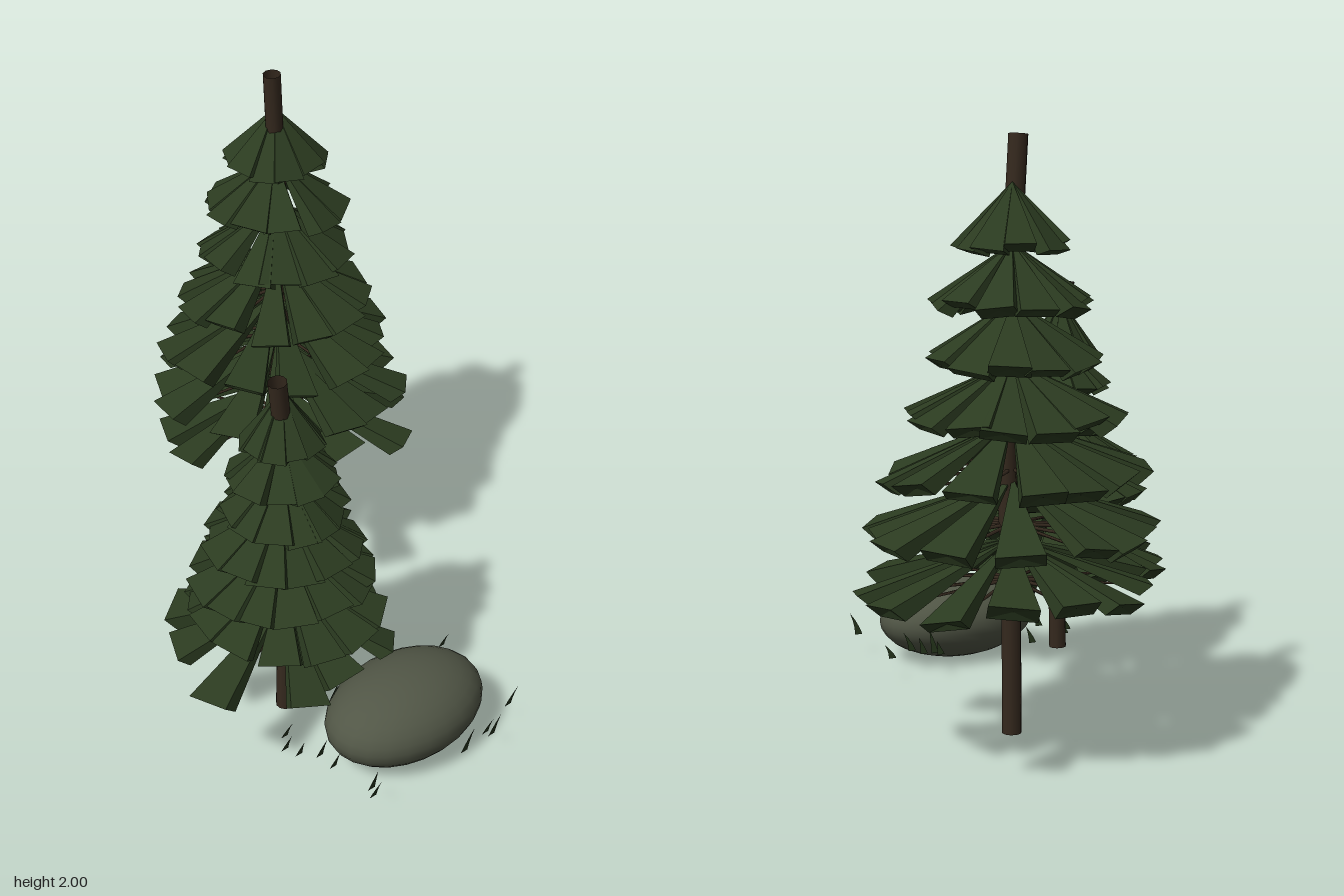
import * as THREE from 'three';
import { mergeGeometries } from 'three/addons/utils/BufferGeometryUtils.js';

const needles = new THREE.MeshStandardMaterial({ color: 0x2b3b20, flatShading: true });
needles.name = 'needle green';
const bark = new THREE.MeshStandardMaterial({ color: 0x35291e, side: THREE.DoubleSide });
bark.name = 'bark brown';
const stone = new THREE.MeshStandardMaterial({ color: 0x515646 });
stone.name = 'stone grey';
const blade = new THREE.MeshStandardMaterial({ color: 0x25351c, side: THREE.DoubleSide });
blade.name = 'grass green';

function seeded(seed) {
  return () => {
    seed = (seed * 16807) % 2147483647;
    return seed / 2147483647;
  };
}

function named(name, geometry, material) {
  const mesh = new THREE.Mesh(geometry, material);
  mesh.name = name;
  return mesh;
}

// Flat four-sided wedge: point at the trunk, widening to an undercut tip
function branchGeometry(angle, reach, drop, width, thick, roll) {
  const g = new THREE.ConeGeometry(Math.SQRT1_2, 1, 4, 1).toNonIndexed();
  g.rotateY(Math.PI / 4).translate(0, -0.5, 0).rotateZ(Math.PI / 2);
  const p = g.attributes.position;
  for (let i = 0; i < p.count; i++) {
    if (p.getX(i) > 0.5 && p.getY(i) < 0) p.setX(i, 0.94);
  }
  g.scale(Math.hypot(reach, drop), thick, width);
  g.computeVertexNormals();
  return g.rotateX(roll).rotateZ(-Math.atan2(drop, reach)).rotateY(angle);
}

// Thin twig carrying a branch from underneath
function twigGeometry(angle, reach) {
  const g = new THREE.CylinderGeometry(0.004, 0.007, reach, 5);
  return g.translate(0, reach / 2, 0).rotateZ(-Math.PI / 2 - 0.06).rotateY(angle);
}

// Bent hollow trunk
function trunkGeometry(points) {
  const curve = new THREE.CatmullRomCurve3(points.map((p) => new THREE.Vector3(...p)));
  return new THREE.TubeGeometry(curve, 16, 0.032, 10, false);
}

function makeTree(name, spec) {
  const tree = new THREE.Group();
  tree.name = name;
  const rand = seeded(spec.seed);
  tree.add(named('trunk', trunkGeometry(spec.trunk), bark));

  const [cx, cz] = spec.centre;
  const twigs = [];
  // Each tier: height of the tips, radius, fall from trunk to tips
  spec.tiers.forEach(([tipY, radius, fall], i) => {
    const lowest = i === spec.tiers.length - 1;
    const count = 10 + Math.min(i, 3);
    const start = rand() * 6.28;
    // The lowest tier has uneven, individually placed branches
    const branches = lowest
      ? spec.lowTips.map(([dx, dz]) => [Math.atan2(-dz, dx), Math.hypot(dx, dz)])
      : Array.from({ length: count }, (_, k) => [
          start + ((k + (rand() - 0.5) * 0.4) / count) * Math.PI * 2,
          radius * (0.86 + 0.14 * rand()),
        ]);
    const wedges = branches.map(([angle, reach]) => {
      const width = Math.min(spec.width, 0.05 + radius * 0.34) * (0.9 + 0.2 * rand());
      const drop = fall + (rand() - 0.5) * 0.03;
      const thick = 0.045 + 0.02 * rand();
      const roll = (rand() - 0.5) * 0.4;
      return branchGeometry(angle, reach, drop, width, thick, roll).translate(cx, tipY + 0.018 + fall, cz);
    });
    tree.add(named('branchTier' + (i + 1), mergeGeometries(wedges), needles));
    if (i > 2) {
      branches.forEach(([angle, reach]) =>
        twigs.push(twigGeometry(angle, reach * 0.75).translate(cx, tipY + 0.055, cz)));
    }
  });
  tree.add(named('twigs', mergeGeometries(twigs), bark));
  return tree;
}

// Grass blades: flat triangles leaning sideways and towards the front
function makeGrass() {
  const rand = seeded(77);
  const spots = [
    [0.08, 0.46], [0.13, 0.5], [0.26, 0.5], [0.09, 0.49], [0.15, 0.56], [0.22, 0.88],
    [-0.06, 0.95], [0.06, 0.93], [0.07, 0.95], [-0.42, 0.88], [-0.44, 0.91], [-0.45, 0.65],
    [-0.45, 0.72], [-0.5, 0.6], [-0.48, 0.5], [-0.52, 0.55], [-0.3, 0.44], [-0.24, 0.47],
  ];
  const parts = spots.map(([x, z]) => {
    const h = 0.05 + 0.065 * rand();
    const lean = 0.008 + 0.02 * rand();
    const outline = new THREE.Shape();
    outline.moveTo(-0.016, 0);
    outline.lineTo(0.014, 0);
    outline.quadraticCurveTo(0.012, h * 0.5, lean, h);
    outline.quadraticCurveTo(-0.004, h * 0.5, -0.016, 0);
    return new THREE.ShapeGeometry(outline, 3).rotateX(0.2).translate(x, 0.085, z - 0.01);
  });
  return named('grassBlades', mergeGeometries(parts), blade);
}

export function createModel() {
  const model = new THREE.Group();
  model.name = 'pineScene';

  model.add(makeTree('tallPine', {
    seed: 421,
    centre: [0.31, -0.5],
    trunk: [[0.313, 0.08, -0.5], [0.32, 0.6, -0.505], [0.335, 1.0, -0.505], [0.32, 1.4, -0.495], [0.27, 2.0, -0.467]],
    width: 0.15,
    tiers: [[1.625, 0.165, 0.21], [1.44, 0.245, 0.205], [1.26, 0.28, 0.205], [1.075, 0.365, 0.2],
      [0.895, 0.44, 0.195], [0.715, 0.485, 0.19], [0.535, 0.5, 0.17]],
    lowTips: [[0.43, -0.34], [0.49, -0.05], [0.48, 0.14], [0.26, 0.44], [0.03, 0.38], [-0.23, 0.52],
      [-0.33, 0.27], [-0.47, 0.02], [-0.39, -0.19], [-0.18, -0.41], [0.0, -0.42], [0.2, -0.36]],
  }));

  model.add(makeTree('smallPine', {
    seed: 933,
    centre: [-0.375, 0.36],
    trunk: [[-0.367, 0.08, 0.356], [-0.36, 0.4, 0.355], [-0.345, 0.8, 0.355], [-0.37, 1.15, 0.365], [-0.418, 1.455, 0.388]],
    width: 0.14,
    tiers: [[1.165, 0.115, 0.215], [1.03, 0.165, 0.19], [0.9, 0.2, 0.185], [0.77, 0.255, 0.185],
      [0.635, 0.3, 0.18], [0.505, 0.335, 0.175], [0.385, 0.42, 0.165]],
    lowTips: [[-0.42, 0.13], [-0.19, 0.36], [0.0, 0.32], [0.24, 0.28], [0.32, 0.05], [0.35, -0.26],
      [0.05, -0.37], [-0.2, -0.35], [-0.33, -0.17], [0.19, -0.24]],
  }));

  // Smooth boulder
  const boulder = new THREE.SphereGeometry(1, 24, 16).scale(0.312, 0.154, 0.217);
  model.add(named('boulder', boulder.translate(-0.117, 0.16, 0.698), stone));
  model.add(makeGrass());
  return model;
}
